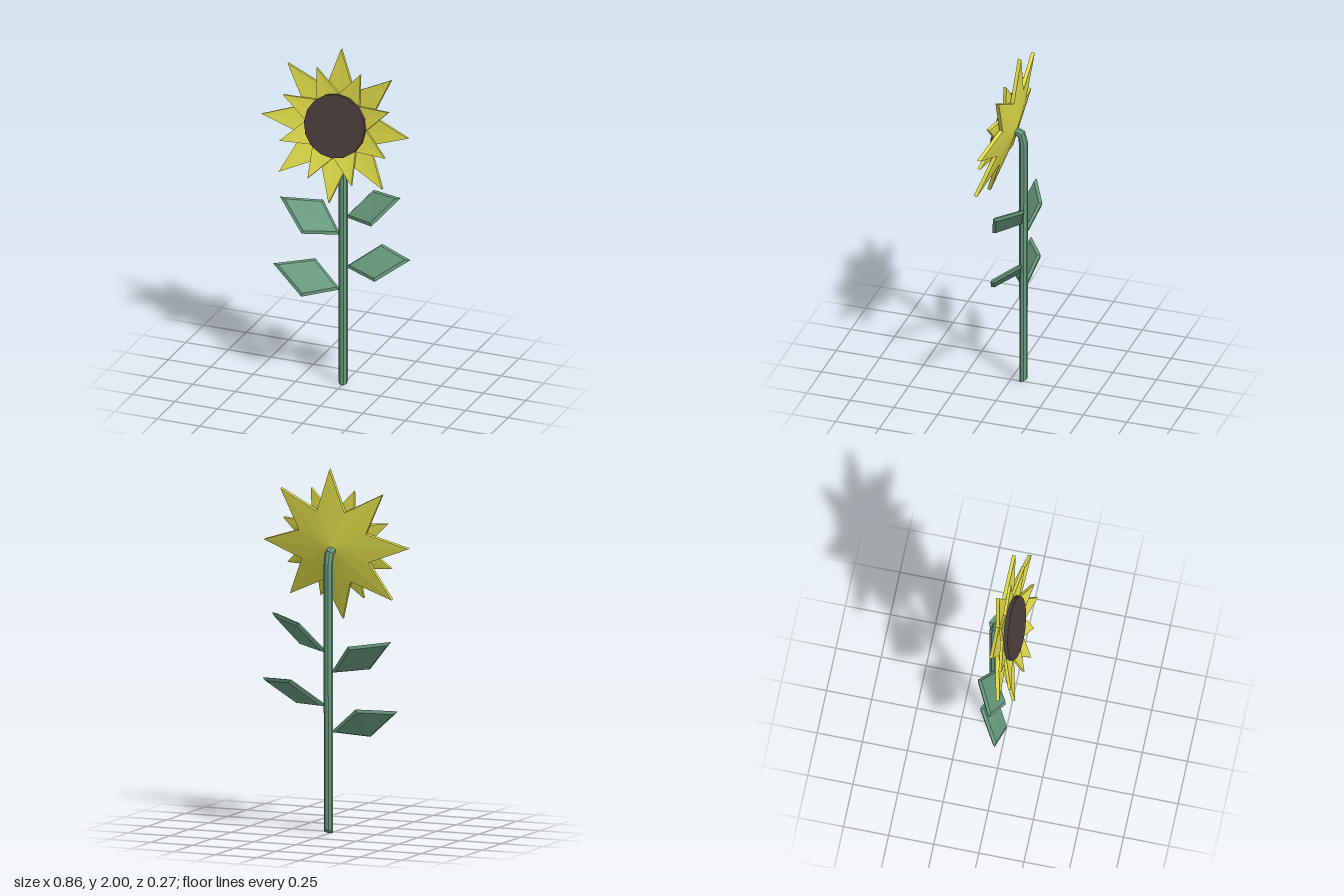
import * as THREE from 'three';

const V = (x, y, z) => new THREE.Vector3(x, y, z);
const material = (color) => new THREE.MeshStandardMaterial({ color, flatShading: true, roughness: 0.9 });

const centroid = (ring) =>
  ring.reduce((sum, p) => sum.add(p), V(0, 0, 0)).divideScalar(ring.length);

// Closed solid through rings of points, capped with a fan at either end.
// Rings run counter-clockwise as seen from the last ring's side.
function loft(rings, startCentre = centroid(rings[0]), endCentre = centroid(rings.at(-1))) {
  const pos = [];
  const tri = (...pts) => pts.forEach((p) => pos.push(p.x, p.y, p.z));
  const n = rings[0].length;
  const first = rings[0], last = rings.at(-1);
  for (let i = 0; i < n; i++) {
    const j = (i + 1) % n;
    for (let k = 0; k < rings.length - 1; k++) {
      const a = rings[k], b = rings[k + 1];
      tri(a[i], a[j], b[j]);
      tri(a[i], b[j], b[i]);
    }
    tri(first[j], first[i], startCentre);
    tri(last[i], last[j], endCentre);
  }
  const geometry = new THREE.BufferGeometry();
  geometry.setAttribute('position', new THREE.Float32BufferAttribute(pos, 3));
  geometry.computeVertexNormals();
  return geometry;
}

// Shallow cone-shaped star: eight pointed petals cut from one thin sheet
function petalStar(tipRadius, valleyRadius, centreZ, tipZ, turn, thickness) {
  const ring = (dz) => Array.from({ length: 16 }, (_, i) => {
    const angle = (i * Math.PI) / 8 + turn;
    const r = i % 2 ? valleyRadius : tipRadius;
    const z = centreZ + ((tipZ - centreZ) * r) / tipRadius;
    return V(r * Math.cos(angle), r * Math.sin(angle), z + dz);
  });
  return loft([ring(-thickness), ring(0)], V(0, 0, centreZ - thickness), V(0, 0, centreZ));
}

// Diamond leaf with chamfered rims; corners run counter-clockwise from above
function leaf(corners) {
  const mid = centroid(corners);
  const normal = corners[2].clone().sub(corners[0])
    .cross(corners[3].clone().sub(corners[1])).normalize();
  const face = (lift) => corners.map((p) =>
    p.clone().lerp(mid, 0.14).addScaledVector(normal, lift));
  return loft([face(-0.012), corners, face(0.012)]);
}

// Stem: octagonal sections [height, z, forward tilt]
function stem() {
  const sections = [
    [0.012, -0.073, 0.5],
    [1.48, -0.073, 0.15],
    [1.535, -0.062, 0.8],
    [1.557, -0.015, 1.4],
  ];
  const xAxis = V(1, 0, 0);
  return loft(sections.map(([y, z, tilt]) =>
    Array.from({ length: 8 }, (_, i) => {
      const a = ((i + 0.5) * Math.PI) / 4;
      return V(0.025 * Math.cos(a), 0, -0.025 * Math.sin(a))
        .applyAxisAngle(xAxis, tilt).add(V(0, y, z));
    })));
}

export function createModel() {
  const model = new THREE.Group();
  const green = material(0x6a9c80);
  const yellow = material(0xe0dc4a);
  const brown = material(0x4a3d3c);
  const add = (parent, name, geometry, mat) => {
    const mesh = new THREE.Mesh(geometry, mat);
    mesh.name = name;
    parent.add(mesh);
    return mesh;
  };

  add(model, 'stem', stem(), green);

  // Leaves: base, front, tip and back corners; the right-hand ones run the other way
  const leaves = {
    upperLeftLeaf: [V(0.015, 0.995, -0.07), V(0.21, 1.015, 0.035), V(0.36, 1.187, -0.02), V(0.155, 1.155, -0.132)],
    lowerLeftLeaf: [V(0.015, 0.70, -0.07), V(0.23, 0.69, 0.035), V(0.415, 0.826, -0.025), V(0.205, 0.842, -0.132)],
    upperRightLeaf: [V(-0.015, 0.885, -0.07), V(-0.143, 1.045, -0.132), V(-0.353, 1.07, -0.028), V(-0.20, 0.902, 0.035)],
    lowerRightLeaf: [V(-0.015, 0.56, -0.07), V(-0.18, 0.70, -0.11), V(-0.378, 0.685, 0.01), V(-0.20, 0.53, 0.04)],
  };
  for (const [name, corners] of Object.entries(leaves)) add(model, name, leaf(corners), green);

  // Flower head, tipped slightly upward
  const head = new THREE.Group();
  head.name = 'flowerHead';
  head.position.y = 1.57;
  head.rotation.x = -0.206;
  model.add(head);

  add(head, 'backPetals', petalStar(0.43, 0.215, -0.018, 0.048, Math.PI / 2, 0.02), yellow);
  add(head, 'frontPetals', petalStar(0.336, 0.178, 0, 0.062, Math.PI / 8, 0.017), yellow);

  const disc = add(head, 'seedDisc', new THREE.CylinderGeometry(0.178, 0.178, 0.035, 16), brown);
  disc.rotation.x = Math.PI / 2;
  disc.position.z = 0.038;

  return model;
}
